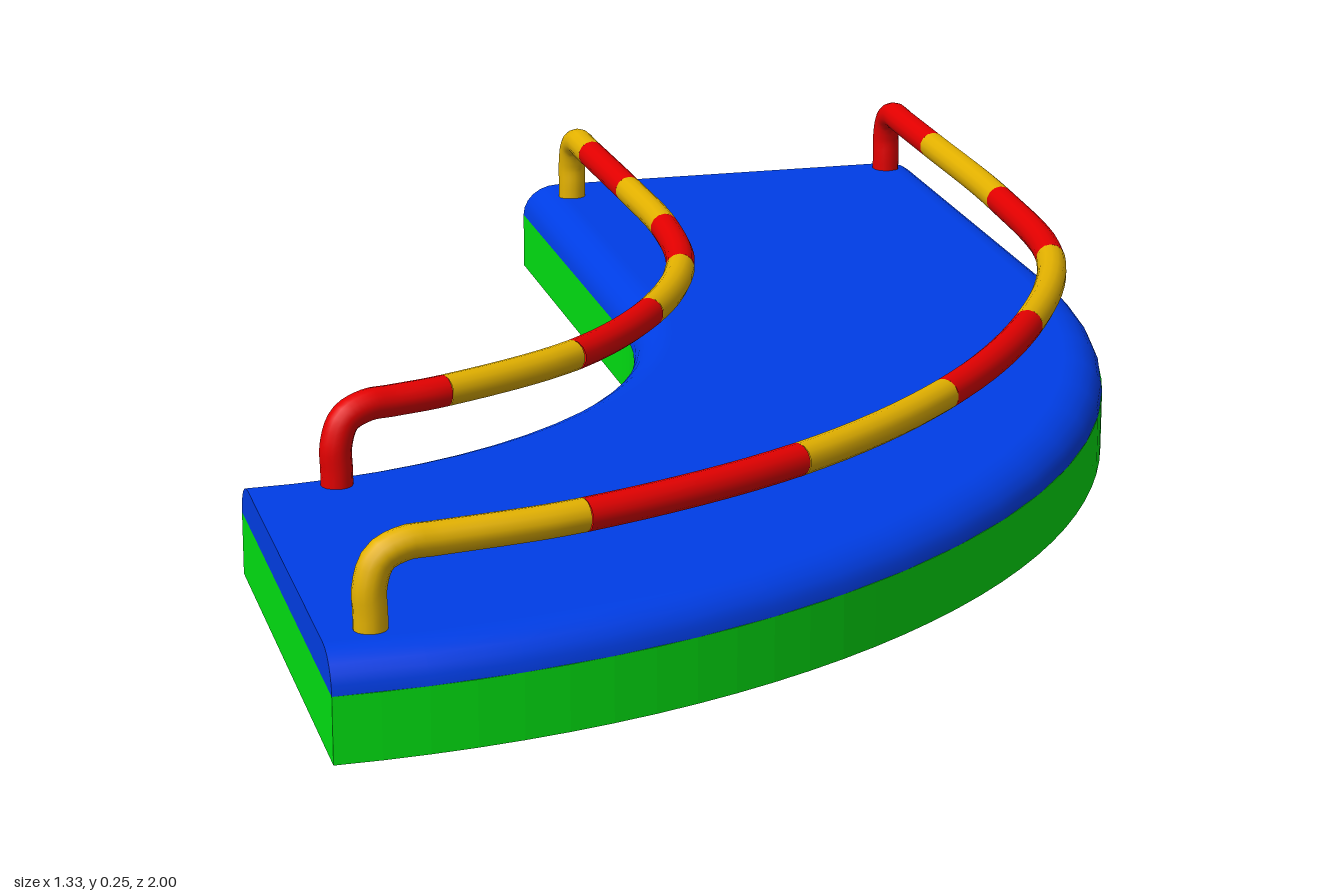
import * as THREE from 'three';

const material = (name, color, side = THREE.FrontSide) => {
  const m = new THREE.MeshStandardMaterial({ color, side });
  m.name = name;
  return m;
};

// The track runs straight along z, then turns a quarter circle about (CX, CZ)
const CX = -0.667, CZ = -0.333, R_IN = 0.667, R_OUT = 1.333;
const ARC_STEPS = 18, BASE_TOP = 0.085, DECK_TOP = 0.132;

// Flat-sided lower slab
function baseGeometry() {
  const s = new THREE.Shape();
  s.moveTo(CX + R_OUT, 1);
  s.lineTo(CX + R_OUT, -CZ);
  s.absarc(CX, -CZ, R_OUT, 0, -Math.PI / 2, true);
  s.lineTo(CX, -CZ - R_IN);
  s.absarc(CX, -CZ, R_IN, -Math.PI / 2, 0, false);
  s.lineTo(CX + R_IN, 1);
  s.closePath();
  const g = new THREE.ExtrudeGeometry(s, { depth: BASE_TOP, bevelEnabled: false, curveSegments: ARC_STEPS });
  return g.rotateX(-Math.PI / 2);
}

// Deck cross-section (radius, height) with rounded shoulders
function deckProfile() {
  const pts = [], w = 0.055, h = DECK_TOP - BASE_TOP, n = 6;
  for (let i = 0; i <= n; i++) {
    const a = (i / n) * Math.PI / 2;
    pts.push(new THREE.Vector2(R_IN + w * (1 - Math.cos(a)), BASE_TOP + h * Math.sin(a)));
  }
  for (let i = n; i >= 0; i--) {
    const a = (i / n) * Math.PI / 2;
    pts.push(new THREE.Vector2(R_OUT - w * (1 - Math.cos(a)), BASE_TOP + h * Math.sin(a)));
  }
  return pts;
}

// Sweep the cross-section along the straight and the bend
function deckGeometry(profile) {
  const pos = [], idx = [], n = profile.length;
  for (let s = -1; s <= ARC_STEPS; s++) {
    const a = (Math.max(s, 0) / ARC_STEPS) * Math.PI / 2;
    for (const p of profile) {
      pos.push(CX + p.x * Math.cos(a), p.y, s < 0 ? -1 : CZ + p.x * Math.sin(a));
    }
  }
  for (let s = 0; s <= ARC_STEPS; s++) {
    for (let i = 0; i < n - 1; i++) {
      const a = s * n + i, b = a + n;
      idx.push(a, b, a + 1, a + 1, b, b + 1);
    }
  }
  const g = new THREE.BufferGeometry();
  g.setAttribute('position', new THREE.Float32BufferAttribute(pos, 3));
  g.setIndex(idx);
  g.computeVertexNormals();
  return g;
}

// Striped handrail: joints are [x, z] where the colour changes, ends included
function handrail(name, joints, mats) {
  const group = new THREE.Group();
  group.name = name;
  const railY = 0.231, bend = 0.045;
  const v = ([x, z], y) => new THREE.Vector3(x, y, z);
  const post = (end, next) => {
    const a = v(end, railY);
    const dir = v(next, railY).sub(a).normalize();
    return [
      v(end, 0.11), v(end, 0.15), v(end, railY - bend),
      a.clone().addScaledVector(dir, bend * 0.29).setY(railY - bend * 0.29),
      a.clone().addScaledVector(dir, bend),
      a.clone().addScaledVector(dir, bend * 1.8),
    ];
  };
  const last = joints.length - 1;
  const start = post(joints[0], joints[1]);
  const finish = post(joints[last], joints[last - 1]).reverse();
  const points = [...start, ...joints.slice(1, last).map((j) => v(j, railY)), ...finish];
  const path = new THREE.CatmullRomCurve3(points);
  const total = points.length - 1;
  for (let k = 0; k < last; k++) {
    const from = k === 0 ? 0 : start.length + k - 1;
    const to = k === last - 1 ? total : start.length + k;
    const steps = (to - from) * 5, samples = [];
    for (let i = 0; i <= steps; i++) {
      samples.push(path.getPoint((from + ((to - from) * i) / steps) / total));
    }
    const curve = new THREE.CatmullRomCurve3(samples);
    const mesh = new THREE.Mesh(new THREE.TubeGeometry(curve, to - from > 1 ? 32 : 8, 0.021, 14), mats[k % 2]);
    mesh.name = 'railSection';
    group.add(mesh);
  }
  return group;
}

export function createModel() {
  const green = material('green', 0x00e412);
  const blue = material('blue', 0x0040ee, THREE.DoubleSide);
  const red = material('red', 0xe40000, THREE.DoubleSide);
  const yellow = material('yellow', 0xe4b200, THREE.DoubleSide);

  const model = new THREE.Group();
  model.name = 'curvedTrack';
  const add = (name, geometry, mat) => {
    const mesh = new THREE.Mesh(geometry, mat);
    mesh.name = name;
    model.add(mesh);
  };

  // Slab, deck and the deck's two end faces
  const profile = deckProfile();
  add('base', baseGeometry(), green);
  add('deck', deckGeometry(profile), blue);
  const cap = () => new THREE.ShapeGeometry(new THREE.Shape(profile));
  add('deckBackEnd', cap().translate(CX, 0, -1), blue);
  add('deckSideEnd', cap().rotateY(-Math.PI / 2).translate(CX, 0, CZ), blue);

  // Handrails
  model.add(handrail('outerHandrail', [
    [0.602, -0.97], [0.602, -0.72], [0.6, -0.38], [0.567, -0.055], [0.428, 0.25],
    [0.222, 0.52], [-0.033, 0.727], [-0.336, 0.862], [-0.605, 0.915],
  ], [red, yellow]));
  model.add(handrail('innerHandrail', [
    [0.064, -0.927], [0.067, -0.8], [0.072, -0.575], [0.072, -0.355], [0.04, -0.14],
    [-0.057, 0.065], [-0.203, 0.233], [-0.4, 0.343], [-0.552, 0.393],
  ], [yellow, red]));
  return model;
}
